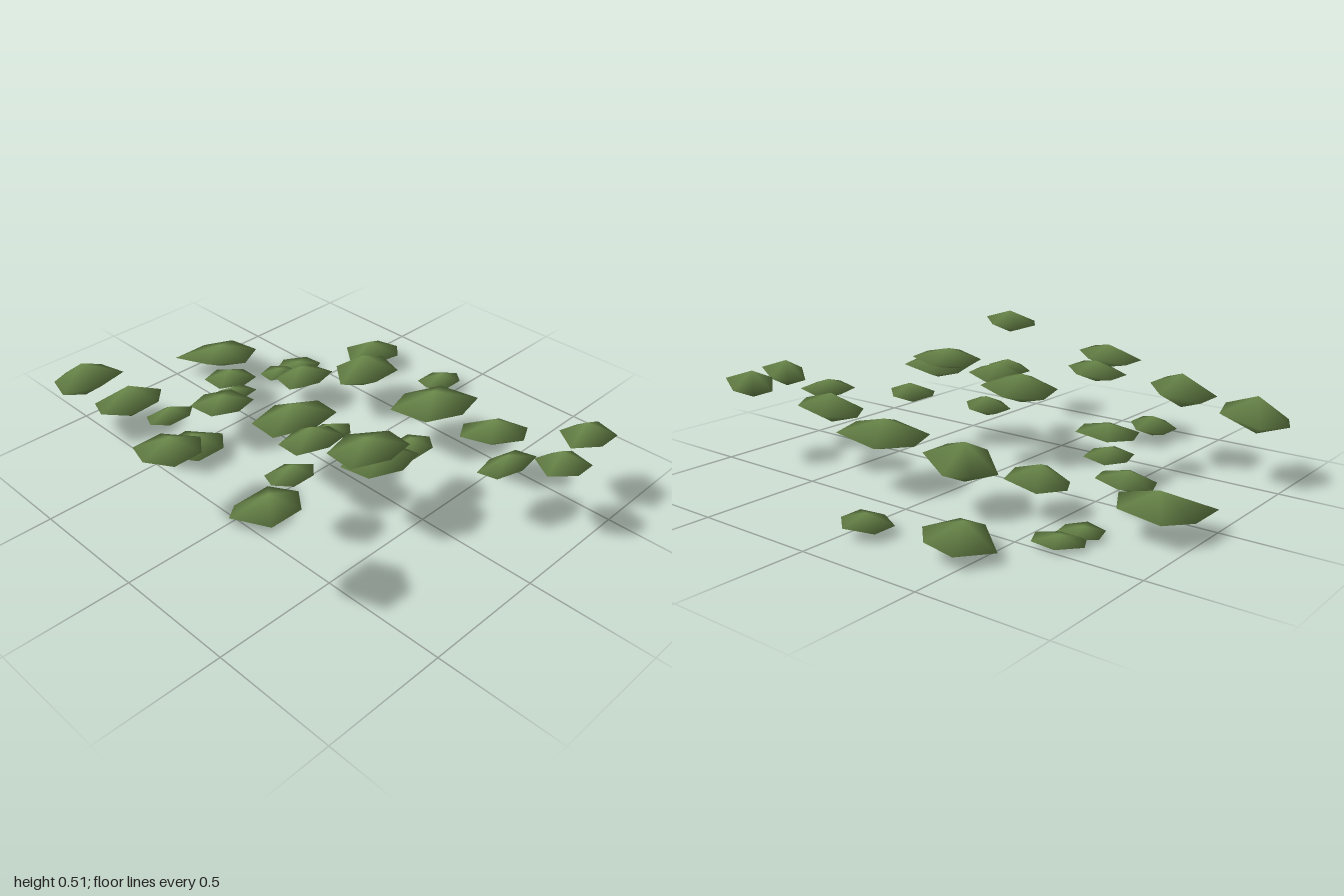
import * as THREE from 'three';

// Six-cornered outlines in a unit box, as [x, z], clockwise from above
const OUTLINES = [
  [[-.45, -1], [.45, -1], [1, -.4], [.72, .75], [.1, 1], [-1, .05]],
  [[-.55, -1], [.7, -1], [1, 0], [.45, 1], [-.7, .6], [-1, 0]],
  [[-.55, -1], [.55, -1], [1, -.1], [.14, .7], [-1, 1], [-1, -.2]],
  [[-.2, -1], [1, -.48], [1, .4], [.14, 1], [-1, .15], [-.7, -.5]],
  [[-.5, -1], [.75, -1], [1, .05], [.5, 1], [-.7, 1], [-1, 0]],
  [[.2, -1], [1, -.4], [1, .6], [0, 1], [-1, .65], [-1, -.4]],
  [[.1, -1], [1, -.4], [1, .65], [-.55, 1], [-1, .5], [-1, -.7]],
  [[-.35, -1], [.65, -1], [1, -.1], [.35, .8], [-.6, 1], [-1, .1]],
  [[-.15, -1], [.85, -.8], [1, .05], [.45, 1], [-.7, .8], [-1, -.2]],
];

// Each clump: x min, x max, z min, z max, y min, y max, outline
const BACK = [
  [-.57, -.30, -.82, -.56, 0, .12, 0],
  [-.14, .02, -.86, -.67, .01, .08, 5],
  [-.73, -.54, -.51, -.35, 0, .04, 7],
  [-.73, -.58, -.40, -.24, 0, .04, 8],
  [-.53, -.30, -.35, -.12, .08, .19, 1],
  [-.33, -.06, -.55, -.24, .12, .27, 3],
  [.06, .37, -.52, -.24, .16, .28, 4],
  [.41, .68, -.44, -.24, .20, .32, 7],
  [.76, .96, -.59, -.36, .28, .39, 3],
  [.80, 1, -.36, -.16, .28, .39, 3],
  [.65, .80, -.29, -.08, .24, .32, 4],
];
const MIDDLE = [
  [-1, -.69, -.28, 0, .05, .16, 2],
  [-.76, -.54, -.12, .07, .08, .16, 8],
  [-.57, -.42, 0, .19, .12, .19, 4],
  [-.53, -.30, .11, .31, .17, .24, 4],
  [-.14, .13, .04, .35, .26, .38, 8],
  [.02, .17, 0, .19, .21, .29, 5],
  [.06, .27, .15, .38, .28, .39, 8],
  [.33, .48, -.12, .08, .24, .32, 6],
  [.27, .52, .07, .35, .34, .43, 8],
  [.33, .56, .08, .31, .30, .40, 4],
];
const FRONT = [
  [.18, .33, .35, .54, .28, .36, 5],
  [-.57, -.42, .31, .51, .16, .24, 5],
  [-.65, -.42, .43, .70, .25, .39, 5],
  [-1, -.73, .43, .70, .20, .35, 1],
  [-.22, 0, .47, .70, .29, .38, 5],
  [-.22, .02, .58, .82, .33, .43, 5],
  [.37, .57, .62, .86, .41, .51, 6],
];

// Smooth lens: a tilted rim closed by a top and a bottom point
function lensGeometry(w, h, d, outline) {
  const pos = [], index = [], n = outline.length;
  for (const [u, v] of outline) pos.push(u * w / 2, u * h * .18, v * d / 2);
  pos.push(0, h / 2, 0, 0, -h / 2, 0);
  for (let i = 0; i < n; i++) {
    const j = (i + 1) % n;
    index.push(n, j, i, n + 1, i, j);
  }
  const geo = new THREE.BufferGeometry();
  geo.setAttribute('position', new THREE.Float32BufferAttribute(pos, 3));
  geo.setIndex(index);
  geo.computeVertexNormals();
  return geo;
}

export function createModel() {
  const model = new THREE.Group();
  model.name = 'foliage';
  const leafGreen = new THREE.MeshStandardMaterial({ color: 0x6d8b4c });
  leafGreen.name = 'leaf green';

  const layers = { backClumps: BACK, middleClumps: MIDDLE, frontClumps: FRONT };
  for (const [name, rows] of Object.entries(layers)) {
    const group = new THREE.Group();
    group.name = name;
    for (const [x0, x1, z0, z1, y0, y1, shape] of rows) {
      const clump = new THREE.Mesh(lensGeometry(x1 - x0, y1 - y0, z1 - z0, OUTLINES[shape]), leafGreen);
      clump.name = 'leafClump';
      clump.position.set((x0 + x1) / 2, (y0 + y1) / 2, (z0 + z1) / 2);
      group.add(clump);
    }
    model.add(group);
  }
  return model;
}
